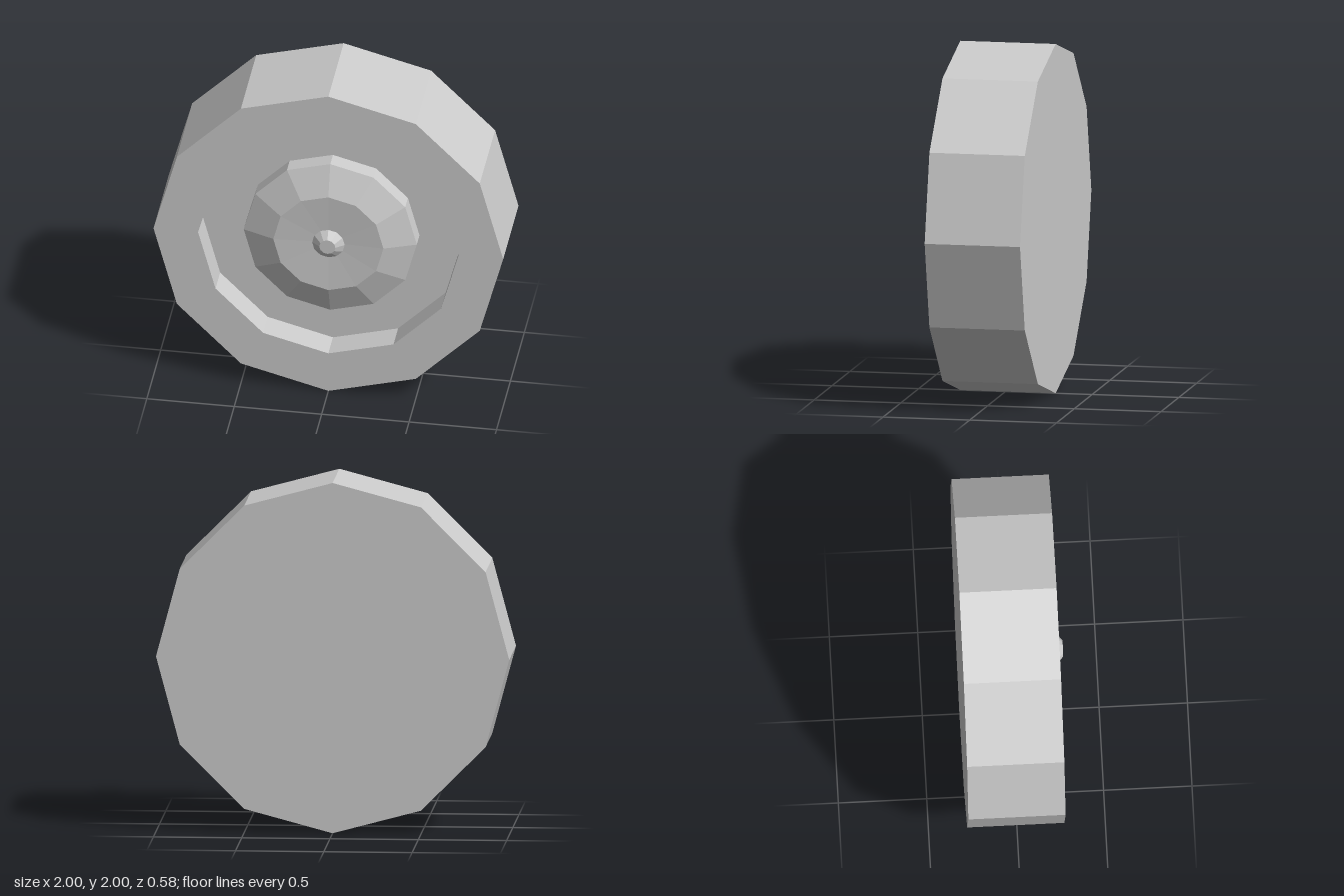
import * as THREE from 'three';

const SIDES = 12;
const material = new THREE.MeshStandardMaterial({ color: 0xcccccc, flatShading: true });

// Faceted ring part turned about the z axle; profile points are [radius, z], back to front
function turned(name, profile) {
  const points = profile.map(([r, z]) => new THREE.Vector2(r, z));
  const geometry = new THREE.LatheGeometry(points, SIDES);
  geometry.rotateX(Math.PI / 2);
  const mesh = new THREE.Mesh(geometry, material);
  mesh.name = name;
  mesh.position.y = 1;
  return mesh;
}

export function createModel() {
  const wheel = new THREE.Group();
  wheel.name = 'wheel';

  // Tyre with a closed back and the wall of the front recess
  wheel.add(turned('tyre', [[0, -0.29], [1, -0.29], [1, 0.26], [0.745, 0.26], [0.745, 0.095]]));

  // Flat floor of the recess
  wheel.add(turned('rimFloor', [[0.745, 0.095], [0.495, 0.095]]));

  // Raised hub cap: short wall, bevel, and a very slightly dished face
  wheel.add(turned('hubCap', [[0.495, 0.095], [0.495, 0.19], [0.315, 0.26], [0.08, 0.248]]));

  // Axle knob with a bevelled tip
  wheel.add(turned('axleKnob', [[0.08, 0.245], [0.093, 0.258], [0.046, 0.295], [0, 0.295]]));

  return wheel;
}
